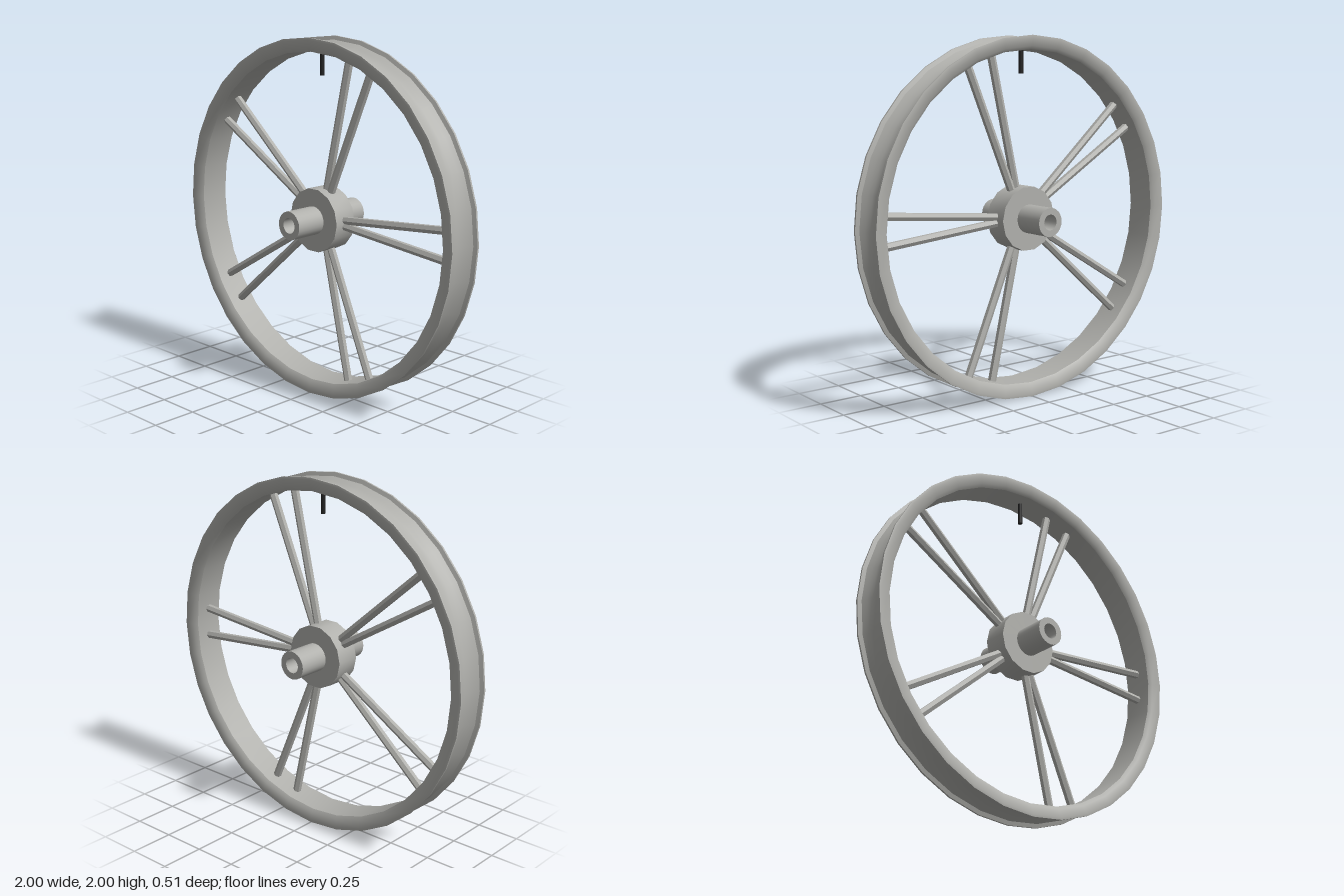
import * as THREE from 'three';
import { toCreasedNormals } from 'three/addons/utils/BufferGeometryUtils.js';

const metal = new THREE.MeshStandardMaterial({ color: 0xb0b0ac });
metal.name = 'grey metal';
const rubber = new THREE.MeshStandardMaterial({ color: 0x222222 });
rubber.name = 'black valve';

// Closed [radius, z] profile turned around the z axis
function turned(name, profile, sides, crease) {
  const pts = [...profile, profile[0]].map(([r, z]) => new THREE.Vector2(r, z));
  const geo = new THREE.LatheGeometry(pts, sides, Math.PI / 2);
  geo.rotateX(Math.PI / 2);
  const mesh = new THREE.Mesh(toCreasedNormals(geo, crease), metal);
  mesh.name = name;
  return mesh;
}

// Ring with a rectangular section
function sleeve(name, inner, outer, half, sides, crease) {
  return turned(name, [[outer, -half], [outer, half], [inner, half], [inner, -half]], sides, crease);
}

export function createModel() {
  const wheel = new THREE.Group();
  wheel.name = 'wheel';
  wheel.position.y = 1;

  // Rim: thin lips, concave outer channel, chamfered inner band
  wheel.add(turned('rim', [
    [0.94, -0.1], [0.985, -0.109], [0.998, -0.107], [0.998, -0.096], [0.977, -0.088],
    [0.961, -0.06], [0.949, -0.03], [0.945, 0], [0.949, 0.03], [0.961, 0.06],
    [0.977, 0.088], [0.998, 0.096], [0.998, 0.107], [0.985, 0.109], [0.94, 0.1],
    [0.922, 0.085], [0.922, -0.085],
  ], 32, 0.6));

  // Hub and hollow axle
  wheel.add(sleeve('hub', 0.06, 0.179, 0.07, 14, 0.6));
  wheel.add(sleeve('axle', 0.043, 0.079, 0.255, 24, 0.6));

  // Five pairs of six-sided spokes, spreading towards the rim
  const up = new THREE.Vector3(0, 1, 0);
  const spokes = new THREE.Group();
  spokes.name = 'spokes';
  for (let i = 0; i < 5; i++) {
    const pair = new THREE.Group();
    pair.name = 'spokePair';
    pair.rotation.z = (i * Math.PI * 2) / 5;
    for (const side of [1, -1]) {
      const a = new THREE.Vector3(0.15, side * 0.014, 0);
      const b = new THREE.Vector3(0.926, side * 0.084, 0);
      const dir = b.clone().sub(a);
      const geo = toCreasedNormals(new THREE.CylinderGeometry(0.023, 0.023, dir.length(), 6), 0.3);
      const spoke = new THREE.Mesh(geo, metal);
      spoke.name = 'spoke';
      spoke.position.copy(a).add(b).multiplyScalar(0.5);
      spoke.quaternion.setFromUnitVectors(up, dir.normalize());
      pair.add(spoke);
    }
    spokes.add(pair);
  }
  wheel.add(spokes);

  // Valve stem hanging from the inside of the rim
  const valve = new THREE.Mesh(new THREE.CylinderGeometry(0.013, 0.013, 0.14, 12), rubber);
  valve.name = 'valveStem';
  valve.position.y = 0.86;
  wheel.add(valve);

  const model = new THREE.Group();
  model.name = 'wheelModel';
  model.add(wheel);
  return model;
}
